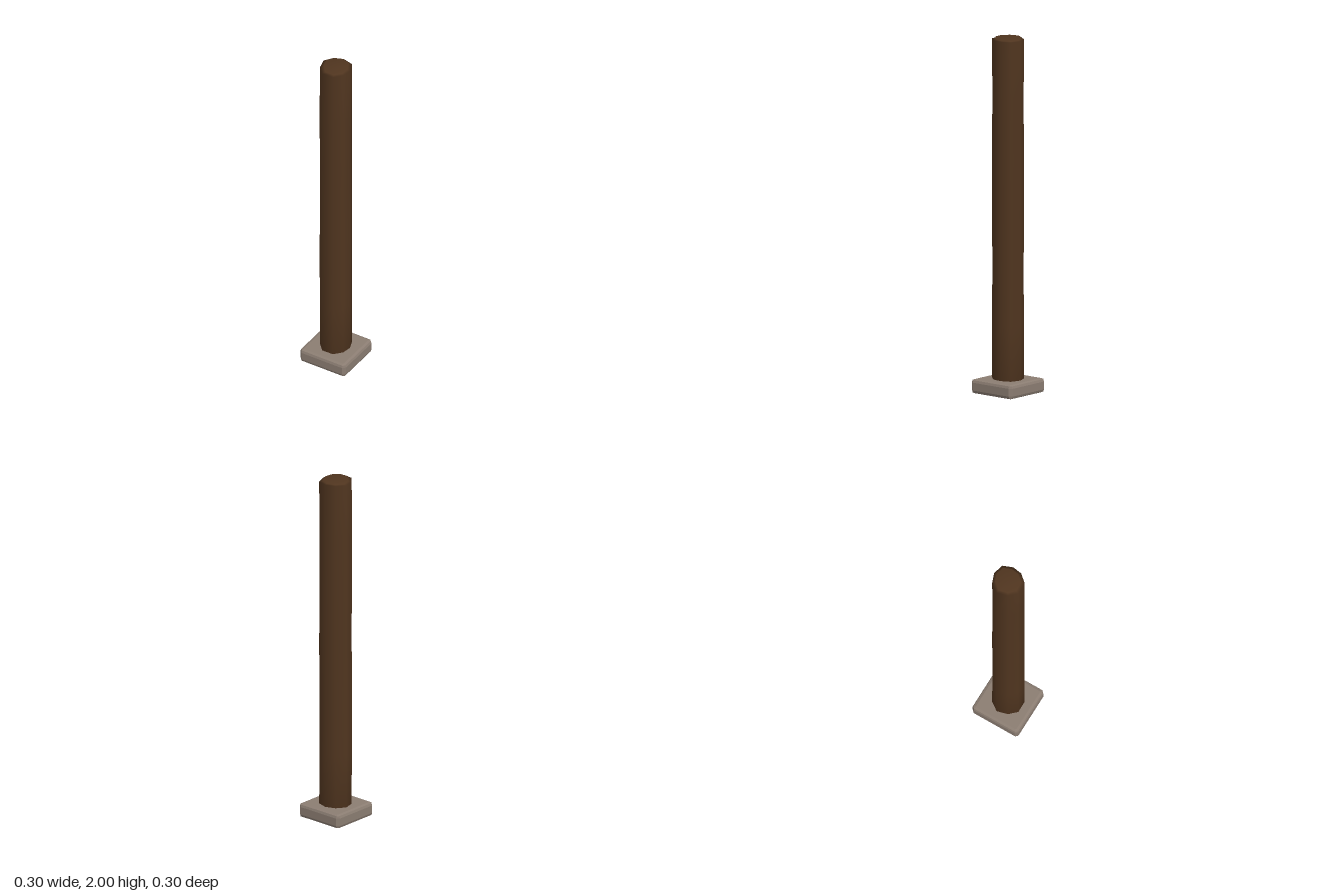
import * as THREE from 'three';

const wood = new THREE.MeshStandardMaterial({ color: 0x50351f });
wood.name = 'dark wood';
const stone = new THREE.MeshStandardMaterial({ color: 0x8b7d72 });
stone.name = 'grey stone';

// Joins rings of [x, y, z] points, bottom to top and clockwise seen from above, and closes both ends.
function loft(rings) {
  const n = rings[0].length, pos = rings.flat(2), index = [];
  rings.slice(1).forEach((_, r) => {
    for (let i = 0; i < n; i++) {
      const a = r * n + i, b = r * n + (i + 1) % n;
      index.push(a, a + n, b, b, a + n, b + n);
    }
  });
  const last = rings.length - 1;
  [0, last].forEach((r) => {
    const centre = pos.length / 3;
    const mean = [0, 1, 2].map((k) => rings[r].reduce((s, p) => s + p[k], 0) / n);
    pos.push(...mean);
    for (let i = 0; i < n; i++) {
      const a = r * n + i, b = r * n + (i + 1) % n;
      if (r === 0) index.push(centre, a, b);
      else index.push(centre, b, a);
    }
  });
  const geo = new THREE.BufferGeometry();
  geo.setAttribute('position', new THREE.Float32BufferAttribute(pos, 3));
  geo.setIndex(index);
  return geo;
}

export function createModel() {
  const group = new THREE.Group();
  group.name = 'post';

  // Nine-sided hewn trunk, slightly uneven along its height, with a low step on top
  const outline = [
    [0, -0.09], [0.06, -0.072], [0.084, -0.015], [0.076, 0.042], [0.035, 0.087],
    [-0.035, 0.088], [-0.078, 0.046], [-0.095, -0.018], [-0.057, -0.068],
  ];
  const heights = [0.07, 0.39, 0.71, 1.03, 1.35, 1.67, 1.988];
  const trunkRings = heights.map((y, r) => outline.map(([x, z], i) => {
    const s = 0.985 + 0.015 * Math.sin(r * 2.1 + i * 1.7);
    return [x * s, y, z * s];
  }));
  [1.99, 2].forEach((y) => {
    trunkRings.push(outline.map(([x, z]) => [x * 0.78, y, z * 0.8 - 0.002]));
  });
  const trunkGeo = loft(trunkRings);
  trunkGeo.computeVertexNormals();
  const trunk = new THREE.Mesh(trunkGeo, wood);
  trunk.name = 'trunk';
  group.add(trunk);

  // Square footing with chamfered edges and clipped corners
  const square = (h, c, y) => [
    [h - c, y, h], [c - h, y, h], [-h, y, h - c], [-h, y, c - h],
    [c - h, y, -h], [h - c, y, -h], [h, y, c - h], [h, y, h - c],
  ];
  const footGeo = loft([
    square(0.13, 0.004, 0), square(0.143, 0.01, 0.005), square(0.148, 0.016, 0.018),
    square(0.148, 0.016, 0.062), square(0.143, 0.01, 0.075), square(0.13, 0.004, 0.08),
  ]).toNonIndexed();
  footGeo.computeVertexNormals();
  const footing = new THREE.Mesh(footGeo, stone);
  footing.name = 'footing';
  group.add(footing);

  return group;
}
